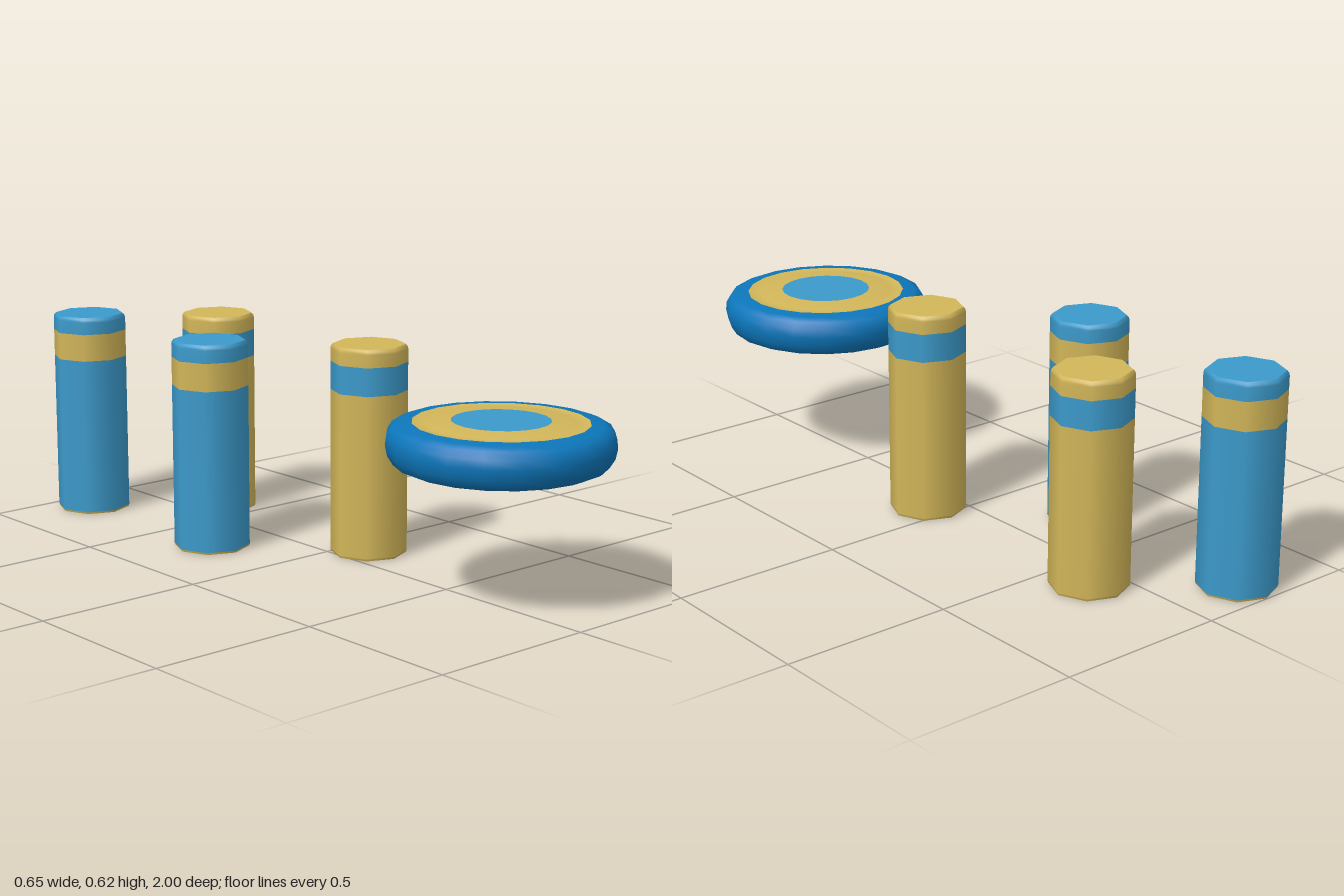
import * as THREE from 'three';

const BLUE = 0x3c9acb, GOLD = 0xd2b659, DEEP_BLUE = 0x0d76ba;

// Turned surface from [radius, height] pairs, listed from the bottom up
function turned(name, color, sides, profile) {
  const points = profile.map(([r, y]) => new THREE.Vector2(r, y));
  const mesh = new THREE.Mesh(
    new THREE.LatheGeometry(points, sides),
    new THREE.MeshStandardMaterial({ color })
  );
  mesh.name = name;
  return mesh;
}

// Eight-sided post with a contrasting band and a softened top edge
function createPost(name, main, accent, x, z) {
  const R = 0.1125, r = 0.105, H = 0.622;
  const post = new THREE.Group();
  post.name = name;
  post.position.set(x, 0, z);
  post.add(
    turned('postUnderside', GOLD, 8, [[0, 0], [R - 0.002, 0]]),
    turned('postFoot', GOLD, 8, [[R - 0.002, 0], [R, 0.006]]),
    turned('postBody', main, 8, [[R, 0.006], [R, 0.487]]),
    turned('postBand', accent, 8, [[R, 0.487], [R, 0.57]]),
    turned('postCollar', main, 8, [[R, 0.57], [R, 0.608], [R - 0.002, 0.616], [r, H]]),
    turned('postTop', main, 8, [[r, H], [0, H]])
  );
  return post;
}

// Round disc with a thick rim and inlaid rings on top
function createDisc(x, z) {
  const disc = new THREE.Group();
  disc.name = 'disc';
  disc.position.set(x, 0, z);
  disc.add(
    turned('discUnderside', DEEP_BLUE, 20, [[0, 0.38], [0.22, 0.38]]),
    turned('discRim', DEEP_BLUE, 20, [
      [0.22, 0.38], [0.262, 0.384], [0.29, 0.396], [0.305, 0.42], [0.311, 0.45],
      [0.308, 0.475], [0.296, 0.495], [0.275, 0.504], [0.24, 0.507]
    ]),
    // Gold ring with a shallow groove
    turned('discRing', GOLD, 20, [
      [0.24, 0.507], [0.222, 0.504], [0.205, 0.505], [0.19, 0.508], [0.17, 0.509], [0.135, 0.512]
    ]),
    turned('discCentre', BLUE, 20, [[0.135, 0.512], [0, 0.512]])
  );
  return disc;
}

export function createModel() {
  const model = new THREE.Group();
  model.name = 'postsAndDisc';

  // Staggered row of posts, front to back
  [[0.095, 0.075], [-0.211, -0.28], [0.095, -0.628], [-0.211, -0.8875]].forEach(([x, z], i) => {
    const gold = i % 2 === 0;
    model.add(createPost(gold ? 'goldPost' : 'bluePost', gold ? GOLD : BLUE, gold ? BLUE : GOLD, x, z));
  });

  model.add(createDisc(0.011, 0.689));
  return model;
}
